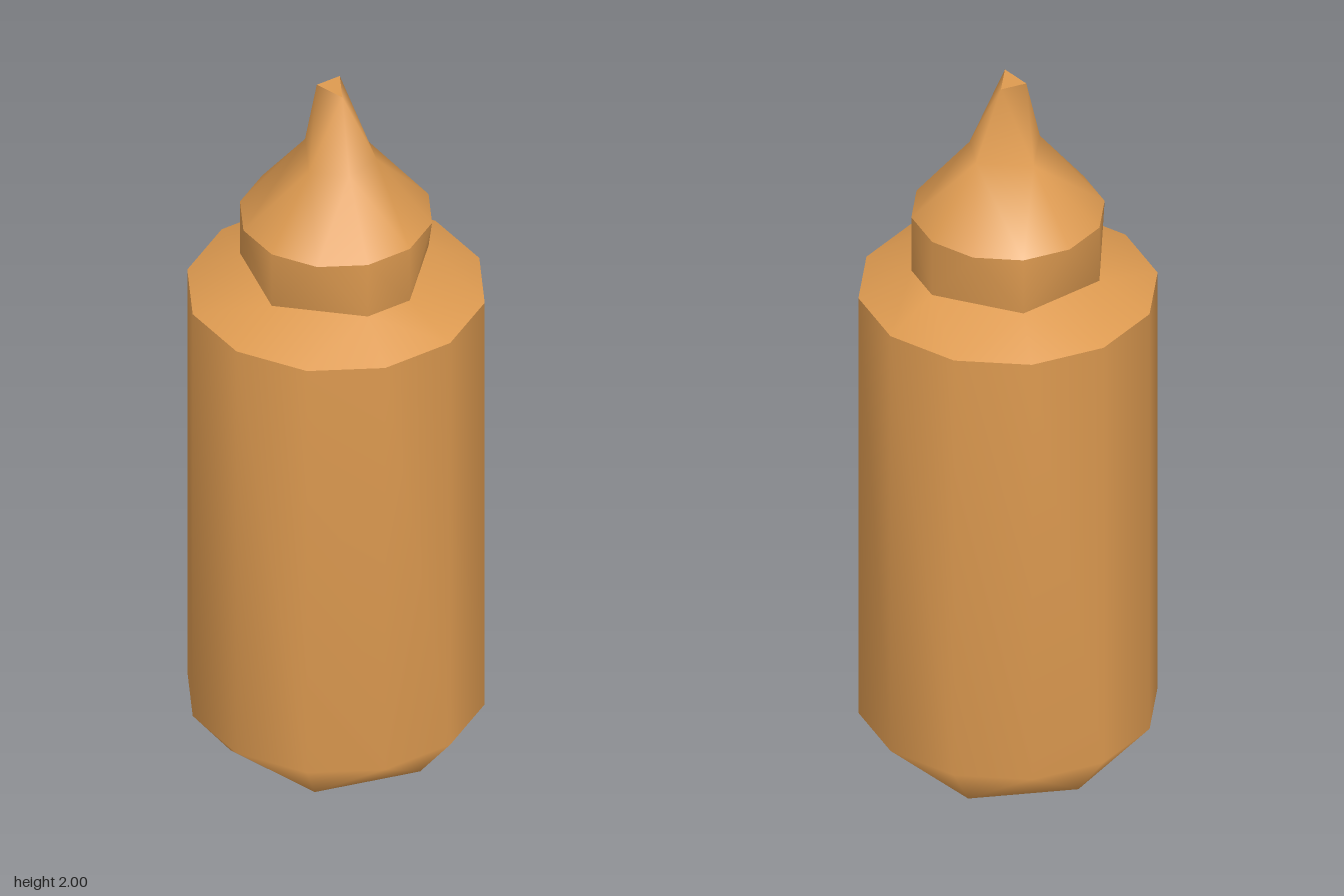
import * as THREE from 'three';

const amber = new THREE.MeshStandardMaterial({ color: 0xdd9a50 });
amber.name = 'amber';

// A ring of points around the y axis, at angles in degrees from +z towards +x
const ring = (radius, y, angles) => ({ radius, y, angles });
const every = (step, start = 0) =>
  Array.from({ length: 360 / step }, (_, i) => start + i * step);

function ringPoints({ radius, y, angles }) {
  return angles.flatMap((deg) => {
    const a = THREE.MathUtils.degToRad(deg);
    return [radius * Math.sin(a), y, radius * Math.cos(a)];
  });
}

function makeMesh(name, positions, indices) {
  const geometry = new THREE.BufferGeometry();
  geometry.setAttribute('position', new THREE.Float32BufferAttribute(positions, 3));
  geometry.setIndex(indices);
  geometry.computeVertexNormals();
  const mesh = new THREE.Mesh(geometry, amber);
  mesh.name = name;
  return mesh;
}

// Smooth skin through rings from bottom to top; neighbours may differ in count
function loft(name, rings) {
  const positions = rings.flatMap(ringPoints);
  const indices = [];
  let base = 0;
  for (let k = 0; k + 1 < rings.length; k++) {
    const a = rings[k].angles, b = rings[k + 1].angles;
    const top = base + a.length;
    const at = (list, i) => list[i % list.length] + 360 * Math.floor(i / list.length);
    const middle = (list, i) => at(list, i) + at(list, i + 1);
    let i = 0, j = 0;
    while (i < a.length || j < b.length) {
      const p = base + (i % a.length), q = top + (j % b.length);
      const stepLower = j >= b.length || (i < a.length && middle(a, i) <= middle(b, j));
      if (stepLower) indices.push(p, base + (++i % a.length), q);
      else indices.push(p, top + (++j % b.length), q);
    }
    base = top;
  }
  return makeMesh(name, positions, indices);
}

// Flat face closing a ring
function cap(name, r, facingUp) {
  const indices = [];
  for (let i = 1; i + 1 < r.angles.length; i++) {
    indices.push(0, ...(facingUp ? [i, i + 1] : [i + 1, i]));
  }
  return makeMesh(name, ringPoints(r), indices);
}

export function createModel() {
  const group = new THREE.Group();
  group.name = 'squeezeBottle';

  const round = every(30);
  const foot = ring(0.285, 0, every(60, 30));
  const bodyLow = ring(0.387, 0.13, round);
  const bodyTop = ring(0.387, 1.38, round);
  const collarLow = ring(0.25, 1.45, [0, 30, 90, 120, 180, 240, 300]);
  const collarTop = ring(0.25, 1.61, round);
  const nozzleLow = ring(0.105, 1.79, [0, 60, 120, 210, 300]);
  const tip = ring(0.05, 2, [0, 150, 240]);

  group.add(
    cap('base', foot, false),
    loft('body', [foot, bodyLow, bodyTop]),
    loft('shoulder', [bodyTop, collarLow]),
    loft('collar', [collarLow, collarTop]),
    loft('nozzle', [collarTop, nozzleLow, tip]),
    cap('nozzleTip', tip, true),
  );
  return group;
}
